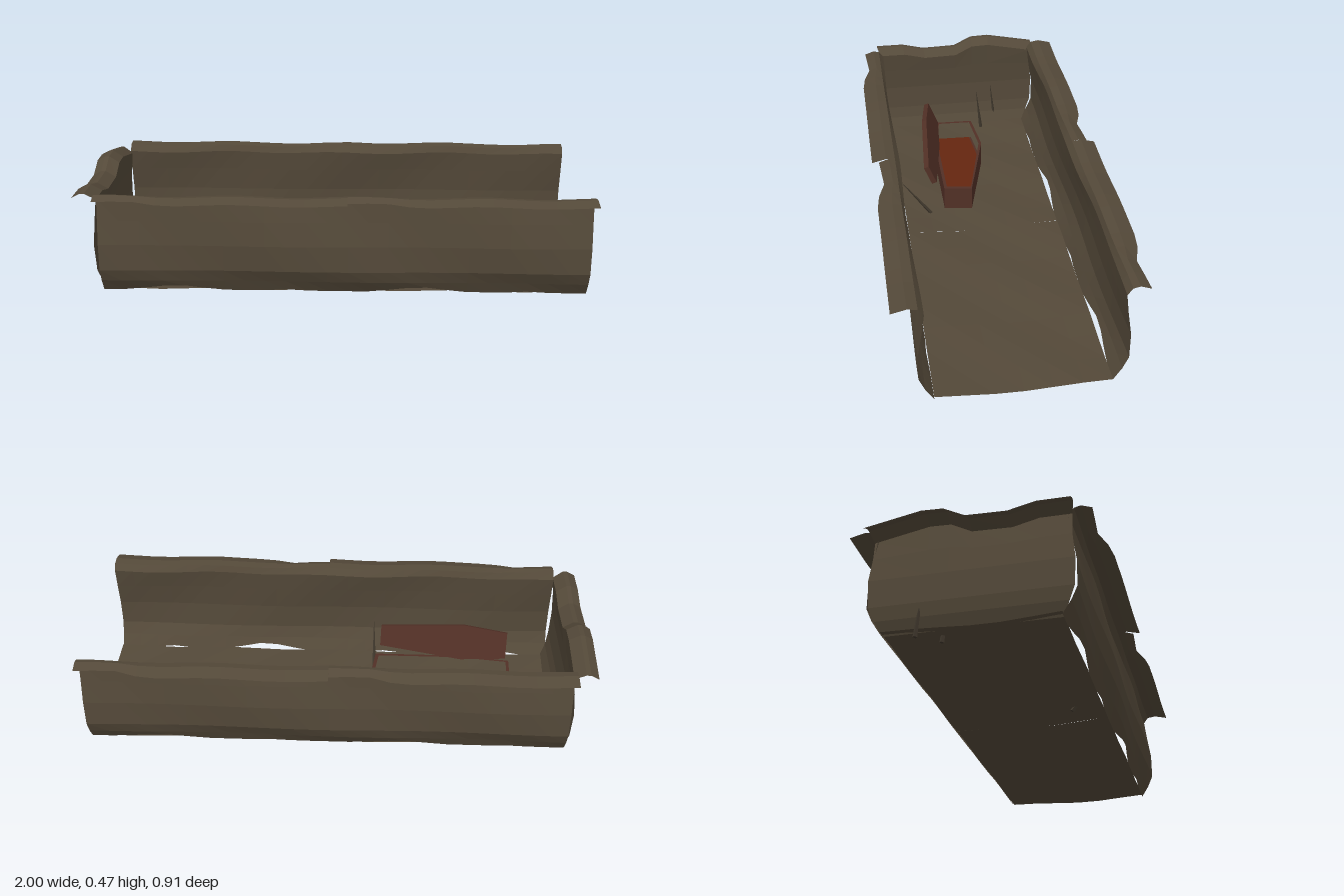
import * as THREE from 'three';

const mat = (name, color, opts = {}) => {
  const m = new THREE.MeshStandardMaterial({ color, flatShading: true, ...opts });
  m.name = name;
  return m;
};

// Open faceted sheet: point(i, j) gives the corner of column i, row j
function sheet(cols, rows, point) {
  const pos = [], idx = [];
  for (let i = 0; i < cols; i++) for (let j = 0; j < rows; j++) pos.push(...point(i, j));
  for (let i = 0; i < cols - 1; i++) for (let j = 0; j < rows - 1; j++) {
    const a = i * rows + j, b = a + rows;
    idx.push(a, b, a + 1, b, b + 1, a + 1);
  }
  const g = new THREE.BufferGeometry();
  g.setAttribute('position', new THREE.Float32BufferAttribute(pos, 3));
  g.setIndex(idx);
  g.computeVertexNormals();
  return g;
}

// Linear interpolation through [key, value] pairs
function lerpTable(table, k) {
  for (let i = 1; i < table.length; i++) {
    const [a, va] = table[i - 1], [b, vb] = table[i];
    if (k <= b) return va + (vb - va) * Math.max(0, (k - a) / (b - a));
  }
  return table[table.length - 1][1];
}

function hexShape(points) {
  return new THREE.Shape(points.map(([x, y]) => new THREE.Vector2(x, y)));
}

export function createModel() {
  const model = new THREE.Group();
  const soil = mat('soil', 0x544939, { side: THREE.DoubleSide });
  const rootBrown = mat('root brown', 0x40382d);
  const wood = mat('coffin wood', 0x523026);
  const lining = mat('coffin lining', 0x652610);
  const add = (parent, name, geo, material) => {
    const m = new THREE.Mesh(geo, material);
    m.name = name;
    parent.add(m);
    return m;
  };

  // Long side walls: a [z, y] section swept along x, with a wavy foot and lip
  const section = [[0.32, 0.03], [0.347, 0.08], [0.368, 0.13], [0.371, 0.235], [0.36, 0.33],
    [0.35, 0.41], [0.365, 0.436], [0.4, 0.442], [0.455, 0.428]];
  const lipReach = [[0, 0.43], [0.17, 0.42], [0.28, 0.455], [1, 0.457]];
  const footRise = [[0, 0], [0.1, 0], [0.25, 0.022], [0.34, 0.025], [0.48, 0.002],
    [0.66, 0.001], [0.75, 0.008], [0.86, 0], [1, 0]];
  const N = 13;
  const wallSegment = (x0, x1) => sheet(N, section.length, (i, j) => {
    const u = i / (N - 1);
    let [z, y] = section[j];
    if (j === 0) { const r = lerpTable(footRise, u); y += r; z += r * 0.6; }
    if (j === 8) z = lerpTable(lipReach, u);
    if (j === 7) z += (lerpTable(lipReach, u) - 0.455) * 0.4;
    if (j > 0 && j < 6) z += 0.005 * Math.sin(u * Math.PI * 2 + j);
    if (j > 4) y += 0.004 * Math.sin(u * Math.PI * 4 + 1);
    return [x0 + (x1 - x0) * u, y, z];
  });
  for (const side of ['frontWall', 'backWall']) {
    const wall = new THREE.Group();
    wall.name = side;
    add(wall, side + 'RightHalf', wallSegment(-0.91, 0.06), soil);
    add(wall, side + 'LeftHalf', wallSegment(0.06, 1), soil);
    if (side === 'backWall') {
      wall.rotation.y = Math.PI;
      wall.position.x = 0.085;
    }
    model.add(wall);
  }

  // Closed end wall with an uneven top and an outward lip: [x, y, top weight]
  const endSection = [[-0.885, 0.03, 0], [-0.908, 0.08, 0], [-0.92, 0.13, 0], [-0.925, 0.235, 0],
    [-0.918, 0.33, 0.3], [-0.908, 0.414, 1], [-0.95, 0.44, 1], [-0.968, 0.439, 1], [-1, 0.422, 1]];
  const topRise = [[-0.37, -0.014], [-0.16, 0.027], [-0.08, 0.024], [0, -0.016],
    [0.15, -0.02], [0.25, 0.004], [0.37, 0.004]];
  const widths = [0.32, 0.345, 0.366, 0.37, 0.36, 0.36, 0.37, 0.37, 0.37];
  add(model, 'endWall', sheet(topRise.length, endSection.length, (i, j) => {
    const [x, y, w] = endSection[j];
    const [z, rise] = topRise[i];
    return [x, y + rise * w, z * widths[j] / 0.37];
  }), soil);

  // Uneven trench floor in two pieces
  const floorPiece = (x0, x1) => sheet(9, 7, (i, j) => {
    const z = -0.32 + j * 0.64 / 6;
    const edge = Math.abs(z) / 0.32;
    return [x0 + (x1 - x0) * i / 8, 0.027 + 0.009 * edge * edge + 0.004 * Math.sin(i * 1.6 + j * 1.3), z];
  });
  add(model, 'floorRight', floorPiece(-0.91, 0.01), soil);
  add(model, 'floorLeft', floorPiece(0.01, 1), soil);

  // Open coffin: tapered hexagonal frame around a sunken lining
  const outer = [[-0.715, -0.045], [-0.505, -0.065], [-0.135, 0.03], [-0.15, 0.148], [-0.515, 0.148], [-0.72, 0.118]];
  const cx = -0.45, cz = 0.045;
  const inner = outer.map(([x, z]) => [cx + (x - cx) * 0.955, cz + (z - cz) * 0.88]);
  const coffin = new THREE.Group();
  coffin.name = 'coffin';
  const flat = (pts) => pts.map(([x, z]) => [x, -z]);
  const frame = hexShape(flat(outer));
  frame.holes.push(hexShape(flat(inner)));
  const layers = [['coffinSides', frame, 0.04, 0.102, wood],
    ['coffinBase', hexShape(flat(outer)), 0.039, 0.012, wood],
    ['coffinLining', hexShape(flat(inner)), 0.051, 0.009, lining]];
  for (const [name, shape, y, depth, material] of layers) {
    const geo = new THREE.ExtrudeGeometry(shape, { depth, bevelEnabled: false });
    geo.rotateX(-Math.PI / 2).translate(0, y, 0);
    add(coffin, name, geo, material);
  }
  model.add(coffin);

  // Lid leaning beside the coffin
  const lidShape = hexShape([[-0.27, -0.055], [-0.08, -0.075], [0.27, -0.043], [0.27, 0.043], [-0.08, 0.075], [-0.27, 0.055]]);
  const lidGeo = new THREE.ExtrudeGeometry(lidShape, { depth: 0.022, bevelEnabled: false }).translate(0, 0, -0.011);
  const along = new THREE.Vector3(0.54, 0, 0.06).normalize();
  const out = new THREE.Vector3().crossVectors(along, new THREE.Vector3(0, 0.92, 0.38)).normalize();
  const up = new THREE.Vector3().crossVectors(out, along);
  lidGeo.applyMatrix4(new THREE.Matrix4().makeBasis(along, up, out).setPosition(-0.44, 0.202, 0.175));
  add(model, 'coffinLid', lidGeo, wood);

  // Thin pointed roots poking through the floor: [base, tip]
  const roots = [
    [[-0.145, 0.012, 0.2], [-0.14, 0.19, 0.327]],
    [[-0.91, 0.002, -0.192], [-0.912, 0.22, -0.168]],
    [[-0.85, 0.002, -0.115], [-0.852, 0.22, -0.091]],
  ];
  for (const [base, tip] of roots) {
    const a = new THREE.Vector3(...base), b = new THREE.Vector3(...tip);
    const dir = b.clone().sub(a);
    const root = add(model, 'root', new THREE.CylinderGeometry(0.001, 0.009, dir.length(), 4), rootBrown);
    root.position.copy(a).lerp(b, 0.5);
    root.quaternion.setFromUnitVectors(new THREE.Vector3(0, 1, 0), dir.normalize());
  }
  return model;
}
